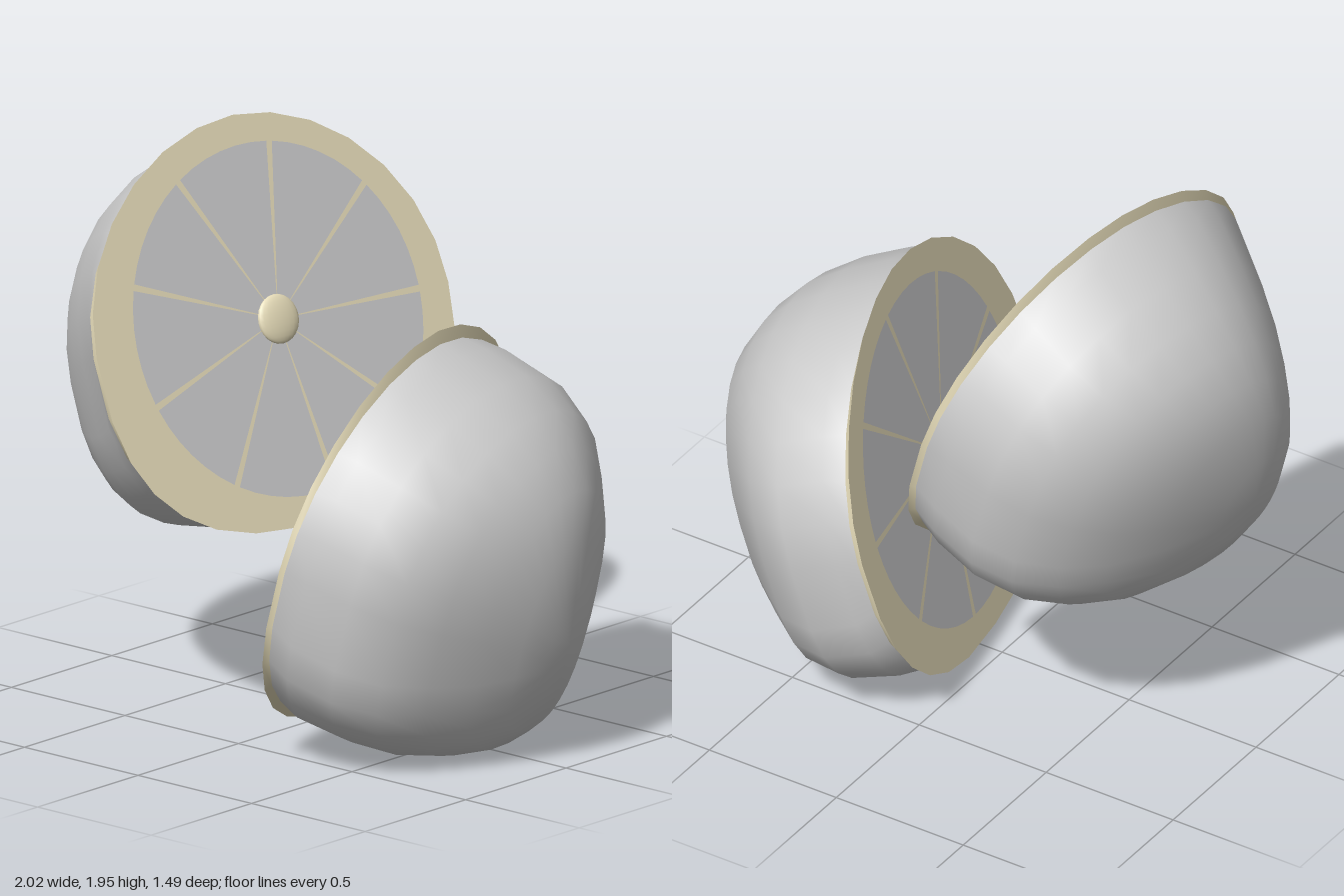
import * as THREE from 'three';
import { mergeVertices } from 'three/addons/utils/BufferGeometryUtils.js';

const SIDES = 28;
const skin = new THREE.MeshStandardMaterial({ name: 'skinGrey', color: 0xcccccc });
const flesh = new THREE.MeshStandardMaterial({ name: 'fleshGrey', color: 0xcacacb });
const pith = new THREE.MeshStandardMaterial({ name: 'pithCream', color: 0xe6dcb9 });

// Rounded loops [depth, top, bottom, halfWidth, sideShift, upper, lower], joined front to back.
// upper and lower set how square the two halves of each loop are (2 is round).
function loft(rings) {
  const pos = [], index = [];
  rings.forEach(([depth, top, bottom, width, side, upper, lower], i) => {
    const mid = (top + bottom) / 2, high = (top - bottom) / 2;
    for (let j = 0; j < SIDES; j++) {
      const t = (j / SIDES) * Math.PI * 2;
      const c = Math.cos(t), s = Math.sin(t);
      const e = 2 / (s < 0 ? lower : upper);
      pos.push(
        side + width * Math.sign(c) * Math.abs(c) ** e,
        mid + high * Math.sign(s) * Math.abs(s) ** e,
        -depth
      );
      if (i < rings.length - 1) {
        const k = (j + 1) % SIDES, a = i * SIDES, b = a + SIDES;
        index.push(a + j, b + j, a + k, a + k, b + j, b + k);
      }
    }
  });
  const g = new THREE.BufferGeometry();
  g.setAttribute('position', new THREE.Float32BufferAttribute(pos, 3));
  g.setIndex(index);
  const merged = mergeVertices(g, 1e-5);
  merged.computeVertexNormals();
  return merged;
}

function add(parent, name, geometry, material) {
  const mesh = new THREE.Mesh(geometry, material);
  mesh.name = name;
  parent.add(mesh);
  return mesh;
}

// Top, bottom, upper and lower squareness of the skin loops, shared by both halves
const DOME = [
  [0.65, -0.65, 1.92, 2.6], [0.635, -0.655, 2.1, 3], [0.605, -0.645, 2.1, 3.2],
  [0.555, -0.63, 2.1, 3.2], [0.48, -0.6, 2.1, 3], [0.38, -0.55, 2.1, 2.8],
  [0.25, -0.46, 2.1, 2.6], [0.06, -0.3, 2, 2.2], [-0.12, -0.12, 2, 2],
];
// Depth, half width and sideways lean of each skin loop
const UPPER_SIDES = [
  [0.02, 0.73, 0.025], [0.1, 0.69, 0.01], [0.27, 0.64, -0.02], [0.41, 0.575, -0.025],
  [0.525, 0.49, -0.005], [0.615, 0.395, 0.035], [0.685, 0.275, 0.1], [0.735, 0.13, 0.17], [0.746, 0, 0.18],
];
const LOWER_SIDES = [
  [0.02, 0.73, 0.025], [0.1, 0.725, 0.02], [0.27, 0.72, 0.015], [0.42, 0.64, 0.035],
  [0.54, 0.5, 0.055], [0.64, 0.36, 0.055], [0.71, 0.23, 0.065], [0.765, 0.11, 0.08], [0.776, 0, 0.08],
];

// One fruit half, its cut face looking along local +z; front is the local x sign of the front
function fruitHalf(name, sides, spokeStart, front) {
  const half = new THREE.Group();
  half.name = name;

  // Domed skin
  const rings = DOME.map(([top, bottom, upper, lower], i) => {
    const [depth, width, lean] = sides[i];
    return [depth, top, bottom, width, lean * front, upper, lower];
  });
  add(half, 'skin', loft(rings), skin);

  // Flat pith face, with a thin lip running back to the skin
  const rim = [0, 0.69, -0.69, 0.735, 0.022 * front, 1.92, 2.6];
  add(half, 'pithFace', loft([[0, 0, 0, 0, 0, 2, 2], rim]), pith);
  add(half, 'pithLip', loft([rim, rings[0]]), pith);

  // Nine flesh wedges with thin tapering gaps between them
  const step = (Math.PI * 2) / 9, gap = 0.038;
  for (let i = 0; i < 9; i++) {
    const wedge = new THREE.CircleGeometry(0.59, 6, spokeStart + i * step + gap / 2, step - gap);
    add(half, 'fleshWedge', wedge, flesh).position.z = 0.003;
  }

  // Raised core
  const core = add(half, 'core', new THREE.SphereGeometry(0.083, 20, 12), pith);
  core.scale.z = 0.27;
  core.position.z = 0.004;
  return half;
}

// Stand a half at a point with its cut face along a direction
function place(half, centre, normal) {
  const z = new THREE.Vector3(...normal).normalize();
  const x = new THREE.Vector3(0, 1, 0).cross(z).normalize();
  const y = z.clone().cross(x);
  half.quaternion.setFromRotationMatrix(new THREE.Matrix4().makeBasis(x, y, z));
  half.position.set(...centre);
  return half;
}

export function createModel() {
  const model = new THREE.Group();
  model.name = 'halvedFruit';
  model.add(
    place(fruitHalf('upperHalf', UPPER_SIDES, 0, -1), [-0.27, 1.3, 0], [1, 0.333, 0.187]),
    place(fruitHalf('lowerHalf', LOWER_SIDES, Math.PI, 1), [0.24, 0.725, 0], [-1, 0.283, 0.207])
  );
  return model;
}
